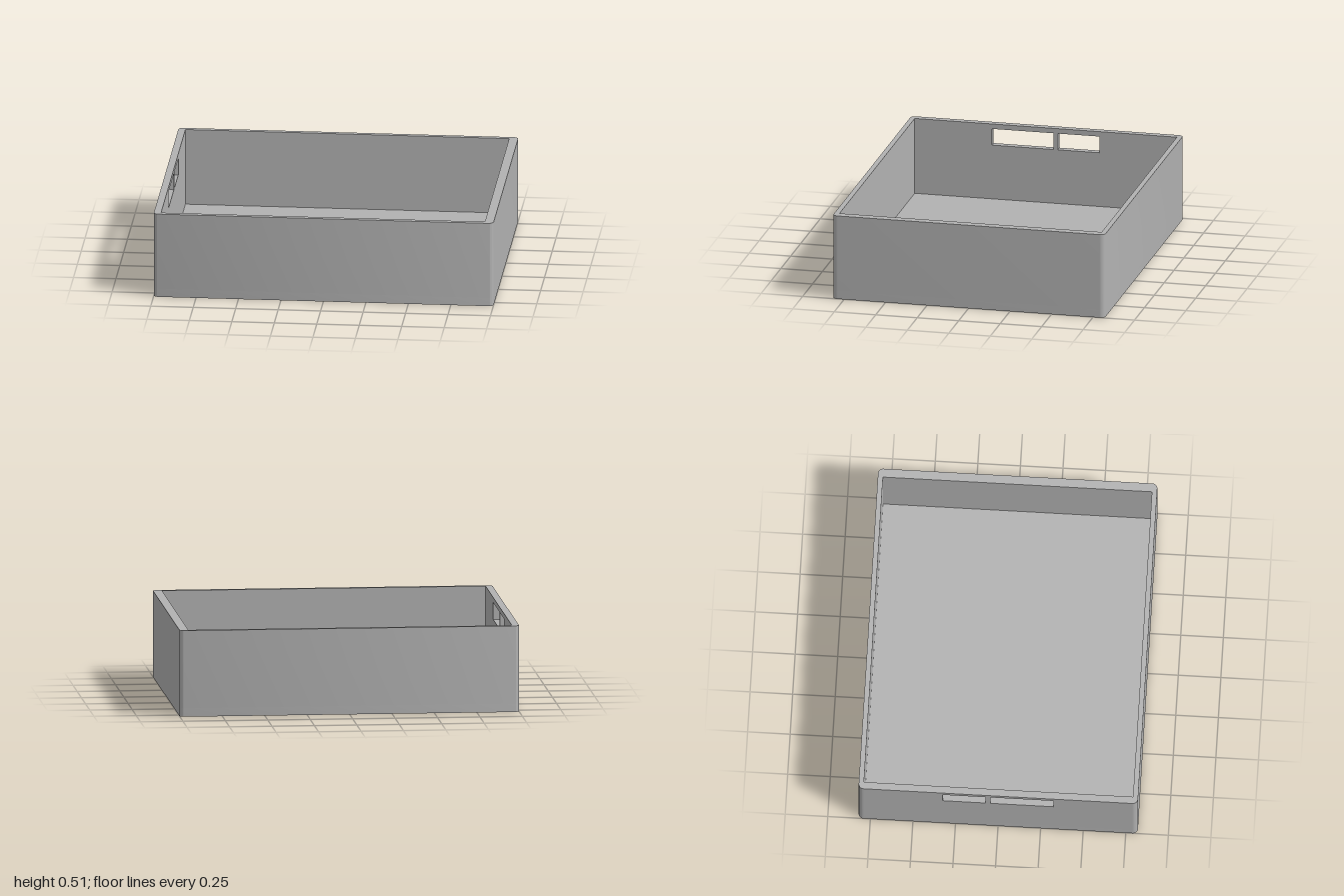
import * as THREE from 'three';
import { toCreasedNormals } from 'three/addons/utils/BufferGeometryUtils.js';

const X = 1, Z = 0.82, H = 0.51, R = 0.03, FLOOR = 0.05;
const IN_LEFT = 0.948, IN_RIGHT = -0.958, IN_Z = Z - R;

// Extrude a plan outline upwards from height y
function extrudeUp(shape, y, height) {
  const g = new THREE.ExtrudeGeometry(shape, { depth: height, bevelEnabled: false, curveSegments: 8 });
  g.rotateX(-Math.PI / 2);
  g.translate(0, y, 0);
  return toCreasedNormals(g, 0.6);
}

// Outer plan from the (-x, -z) corner round to the (-x, +z) corner, all corners rounded
function outerPlan() {
  const s = new THREE.Shape();
  s.moveTo(-X, -Z + R);
  s.absarc(-X + R, -Z + R, R, Math.PI, Math.PI * 1.5);
  s.absarc(X - R, -Z + R, R, -Math.PI / 2, 0);
  s.absarc(X - R, Z - R, R, 0, Math.PI / 2);
  s.absarc(-X + R, Z - R, R, Math.PI / 2, Math.PI);
  return s;
}

function rect(path, x0, y0, x1, y1) {
  path.moveTo(x0, y0);
  path.lineTo(x1, y0);
  path.lineTo(x1, y1);
  path.lineTo(x0, y1);
  path.closePath();
  return path;
}

export function createModel() {
  const grey = new THREE.MeshStandardMaterial({ color: 0xb2b2b2 });
  grey.name = 'grey';
  const group = new THREE.Group();
  group.name = 'tray';
  const add = (name, geometry) => {
    const mesh = new THREE.Mesh(geometry, grey);
    mesh.name = name;
    group.add(mesh);
  };

  // Floor slab
  add('floor', extrudeUp(outerPlan(), 0, FLOOR));

  // Front, left and back walls in one U-shaped piece
  const walls = outerPlan();
  walls.lineTo(IN_RIGHT, IN_Z);
  walls.lineTo(IN_LEFT, IN_Z);
  walls.lineTo(IN_LEFT, -IN_Z);
  walls.lineTo(IN_RIGHT, -IN_Z);
  walls.closePath();
  add('walls', extrudeUp(walls, FLOOR, H - FLOOR));

  // Wall with a handle opening split by a narrow divider
  const panel = rect(new THREE.Shape(), -IN_Z, FLOOR, IN_Z, H);
  for (const [z0, z1] of [[-0.325, -0.073], [-0.045, 0.325]]) {
    panel.holes.push(rect(new THREE.Path(), z0, 0.38, z1, 0.48));
  }
  const handleWall = new THREE.ExtrudeGeometry(panel, { depth: X + IN_RIGHT, bevelEnabled: false });
  handleWall.rotateY(-Math.PI / 2);
  handleWall.translate(IN_RIGHT, 0, 0);
  add('handleWall', handleWall);

  return group;
}
